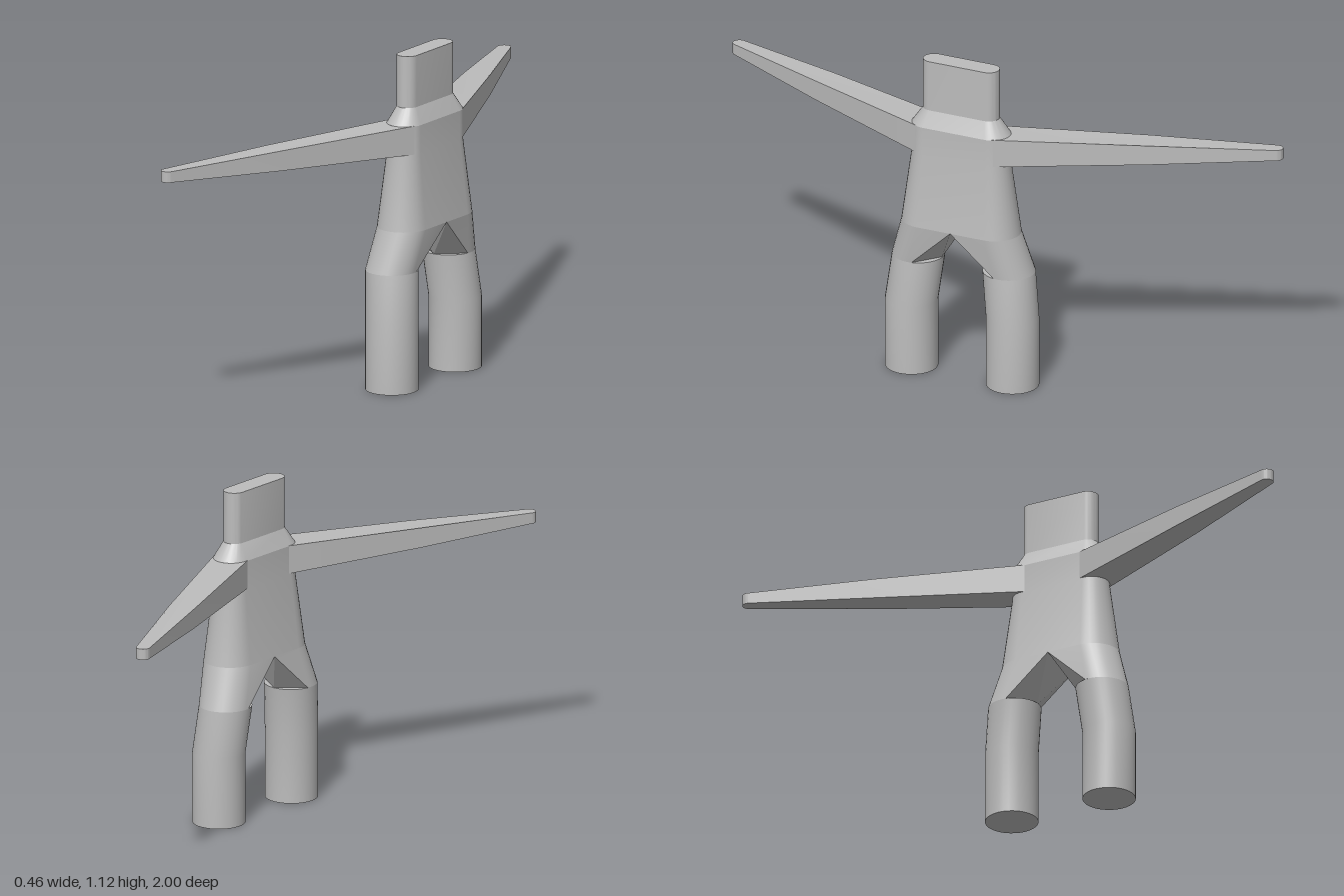
import * as THREE from 'three';
import { toCreasedNormals } from 'three/addons/utils/BufferGeometryUtils.js';

const SEG = 16; // segments per half circle
const CREASE = 0.3;
const P = (x, y, z) => new THREE.Vector3(x, y, z);

// Skins rings listed from bottom to top, each counterclockwise seen from above.
function loft(rings, capBottom = true, capTop = true) {
  const pos = [];
  const tri = (a, b, c) => {
    if (a.distanceTo(b) < 1e-6 || b.distanceTo(c) < 1e-6 || a.distanceTo(c) < 1e-6) return;
    for (const p of [a, b, c]) pos.push(p.x, p.y, p.z);
  };
  const n = rings[0].length;
  for (let i = 0; i < rings.length - 1; i++) {
    for (let j = 0; j < n; j++) {
      const k = (j + 1) % n;
      tri(rings[i][j], rings[i][k], rings[i + 1][k]);
      tri(rings[i][j], rings[i + 1][k], rings[i + 1][j]);
    }
  }
  const cap = (ring, up) => {
    const mid = ring.reduce((s, p) => s.add(p), P(0, 0, 0)).divideScalar(n);
    ring.forEach((p, j) => {
      const q = ring[(j + 1) % n];
      up ? tri(mid, p, q) : tri(mid, q, p);
    });
  };
  if (capBottom) cap(rings[0], false);
  if (capTop) cap(rings[rings.length - 1], true);
  const geo = new THREE.BufferGeometry();
  geo.setAttribute('position', new THREE.Float32BufferAttribute(pos, 3));
  return toCreasedNormals(geo, CREASE);
}

// Half circle running from start angle, counterclockwise from above.
function halfCircle(cx, y, cz, r, start) {
  return Array.from({ length: SEG + 1 }, (_, i) => {
    const a = start + (Math.PI * i) / SEG;
    return P(cx + r * Math.cos(a), y, cz - r * Math.sin(a));
  });
}

// Slot-shaped ring with round ends towards +z and -z.
const slot = (y, cx, r, halfZ) => [
  ...halfCircle(cx, y, -(halfZ - r), r, 0),
  ...halfCircle(cx, y, halfZ - r, r, Math.PI),
];

// Half of the hip section: round outer end plus four inner points.
function hipRing(y, cx, cz, r, inner, side) {
  const ring = [...halfCircle(cx, y, cz, r, Math.PI), ...inner.map(([x, z]) => P(x, y, z))];
  return side > 0 ? ring : ring.map((p) => P(p.x, p.y, -p.z)).reverse();
}

// Tapered arm: flat plan outline with a rounded tip, height shrinking outwards.
function armGeometry(side) {
  const root = P(0.144, 0.843, 0.114 * side);
  const tip = P(-0.21, 0.843, 0.978 * side);
  const length = root.distanceTo(tip);
  const dir = tip.clone().sub(root).normalize();
  const across = P(0, 1, 0).cross(dir);
  const shape = new THREE.Shape();
  shape.moveTo(0, -0.061);
  shape.lineTo(length * 0.55, -0.045);
  shape.lineTo(length, -0.023);
  shape.absarc(length, 0, 0.023, -Math.PI / 2, Math.PI / 2, false);
  shape.lineTo(length * 0.55, 0.045);
  shape.lineTo(0, 0.061);
  const geo = new THREE.ExtrudeGeometry(shape, { depth: 1, bevelEnabled: false, curveSegments: 12 });
  const pos = geo.attributes.position;
  for (let i = 0; i < pos.count; i++) {
    const s = Math.min(pos.getX(i) / length, 1);
    const height = s < 0.55 ? 0.097 - (s / 0.55) * 0.029 : 0.068 - ((s - 0.55) / 0.45) * 0.031;
    const p = root.clone().addScaledVector(dir, pos.getX(i)).addScaledVector(across, pos.getY(i));
    pos.setXYZ(i, p.x, p.y + (pos.getZ(i) - 0.5) * height, p.z);
  }
  return toCreasedNormals(geo, CREASE);
}

export function createModel() {
  const group = new THREE.Group();
  const grey = new THREE.MeshStandardMaterial({ color: 0xbcbcbc });
  grey.name = 'plain grey';
  const add = (name, geo) => {
    const mesh = new THREE.Mesh(geo, grey);
    mesh.name = name;
    group.add(mesh);
  };

  // Torso, sloping shoulders and slab head
  add('torso', loft([
    slot(0.54, 0.143, 0.088, 0.21),
    slot(0.79, 0.144, 0.0615, 0.175),
    slot(0.89, 0.144, 0.0615, 0.175),
  ], false, false));
  add('shoulders', loft([slot(0.89, 0.144, 0.0615, 0.175), slot(0.945, 0.144, 0.036, 0.136)], false, false));
  add('head', loft([slot(0.945, 0.144, 0.036, 0.136), slot(1.12, 0.144, 0.036, 0.136)], false, true));

  for (const side of [1, -1]) {
    const label = side > 0 ? 'left' : 'right';

    // Hip, with a faceted crotch
    add(label + 'Hip', loft([
      hipRing(0.4, 0.126, 0.165, 0.088, [[0.213, 0.15], [0.126, 0.079], [0.126, 0.079], [0.039, 0.15]], side),
      hipRing(0.54, 0.143, 0.122, 0.088, [[0.231, 0], [0.231, 0], [0.055, 0], [0.055, 0]], side),
    ], false, false));

    // Leg, bent at the knee
    const legRing = (y, cx, cz) => slot(y, cx, 0.088, 0.088).map((p) => p.add(P(0, 0, cz * side)));
    add(label + 'Leg', loft([legRing(0, 0.139, 0.184), legRing(0.24, 0.139, 0.184), legRing(0.4, 0.126, 0.165)]));

    add(label + 'Arm', armGeometry(side));
  }
  return group;
}
